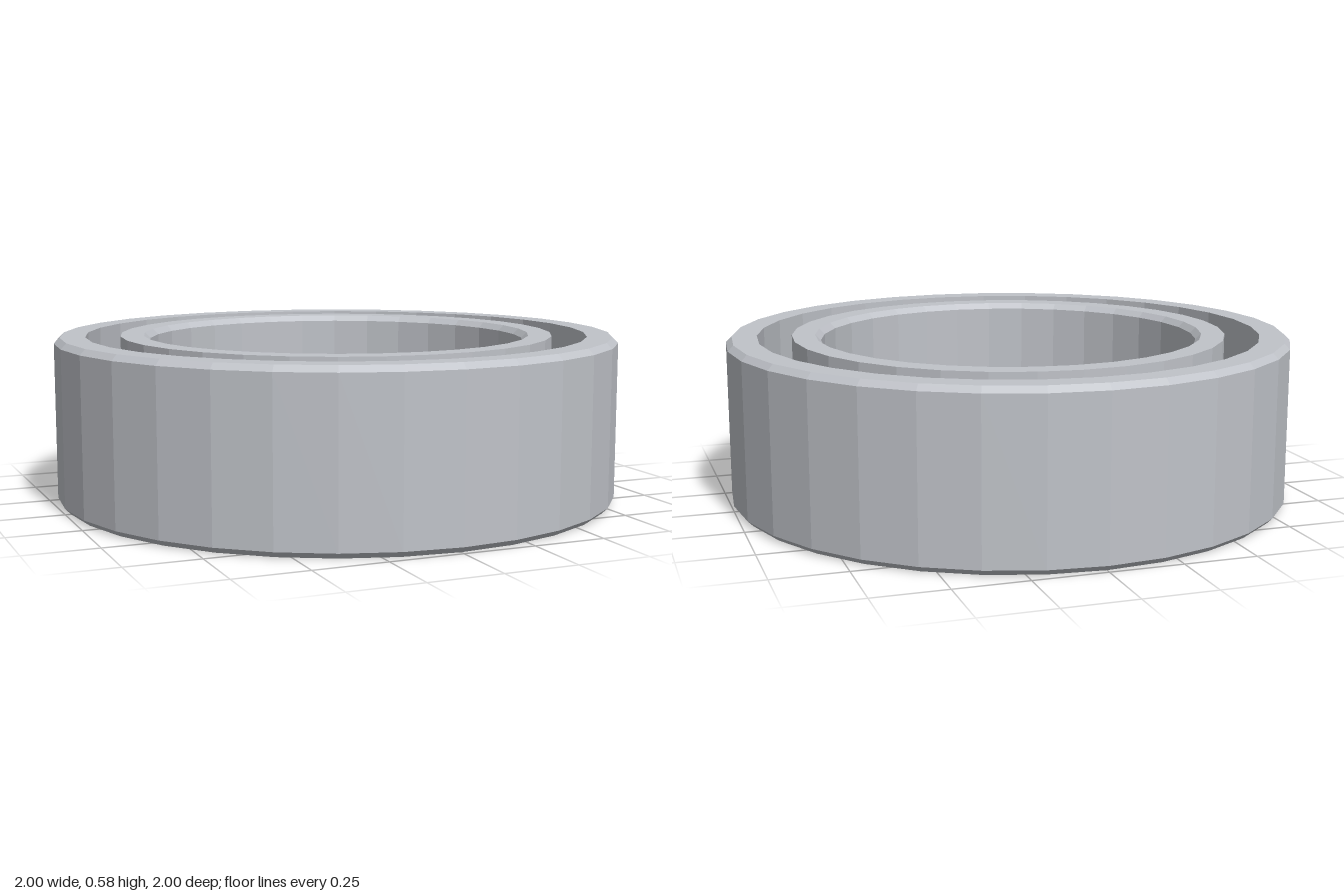
import * as THREE from 'three';

const HEIGHT = 0.585, MID = HEIGHT / 2, SIDES = 32;
const PITCH = 0.832, BALL_RADIUS = 0.09, BALLS = 20, CHAMFER = 0.02;

// Arc of the ball groove where it cuts a wall of the given radius, listed upwards.
function groove(wall) {
  const r = BALL_RADIUS + 0.005, side = Math.sign(wall - PITCH);
  const half = Math.acos(Math.abs(wall - PITCH) / r);
  const points = [];
  for (let i = 0; i <= 8; i++) {
    const a = -half + (2 * half * i) / 8;
    points.push([PITCH + side * r * Math.cos(a), MID + r * Math.sin(a)]);
  }
  return points;
}

// Spins a closed profile; points run anticlockwise in (radius, height).
function ring(name, profile, material) {
  const points = [...profile, profile[0]].map(([x, y]) => new THREE.Vector2(x, y));
  const mesh = new THREE.Mesh(new THREE.LatheGeometry(points, SIDES), material);
  mesh.name = name;
  return mesh;
}

export function createModel() {
  const model = new THREE.Group();
  model.name = 'ballBearing';
  const steel = new THREE.MeshStandardMaterial({ color: 0xc0c3c9 });
  steel.name = 'steel';
  steel.flatShading = true;

  // Outer race: chamfered outside, grooved inside
  const outerWall = 0.892;
  model.add(ring('outerRace', [
    [outerWall, 0], [1 - CHAMFER, 0], [1, CHAMFER],
    [1, HEIGHT - CHAMFER], [1 - CHAMFER, HEIGHT], [outerWall, HEIGHT],
    ...groove(outerWall).reverse(),
  ], steel));

  // Inner race: grooved outside, chamfered at the bore
  const innerWall = 0.77, bore = 0.668;
  model.add(ring('innerRace', [
    [bore + CHAMFER, 0], [innerWall, 0],
    ...groove(innerWall),
    [innerWall, HEIGHT], [bore + CHAMFER, HEIGHT],
    [bore, HEIGHT - CHAMFER], [bore, CHAMFER],
  ], steel));

  // Balls evenly spaced between the races
  const balls = new THREE.Group();
  balls.name = 'balls';
  const ballGeometry = new THREE.IcosahedronGeometry(BALL_RADIUS, 3);
  for (let i = 0; i < BALLS; i++) {
    const a = (i / BALLS) * Math.PI * 2;
    const ball = new THREE.Mesh(ballGeometry, steel);
    ball.name = 'ball';
    ball.position.set(PITCH * Math.sin(a), MID, PITCH * Math.cos(a));
    ball.rotation.y = a;
    balls.add(ball);
  }
  model.add(balls);
  return model;
}
